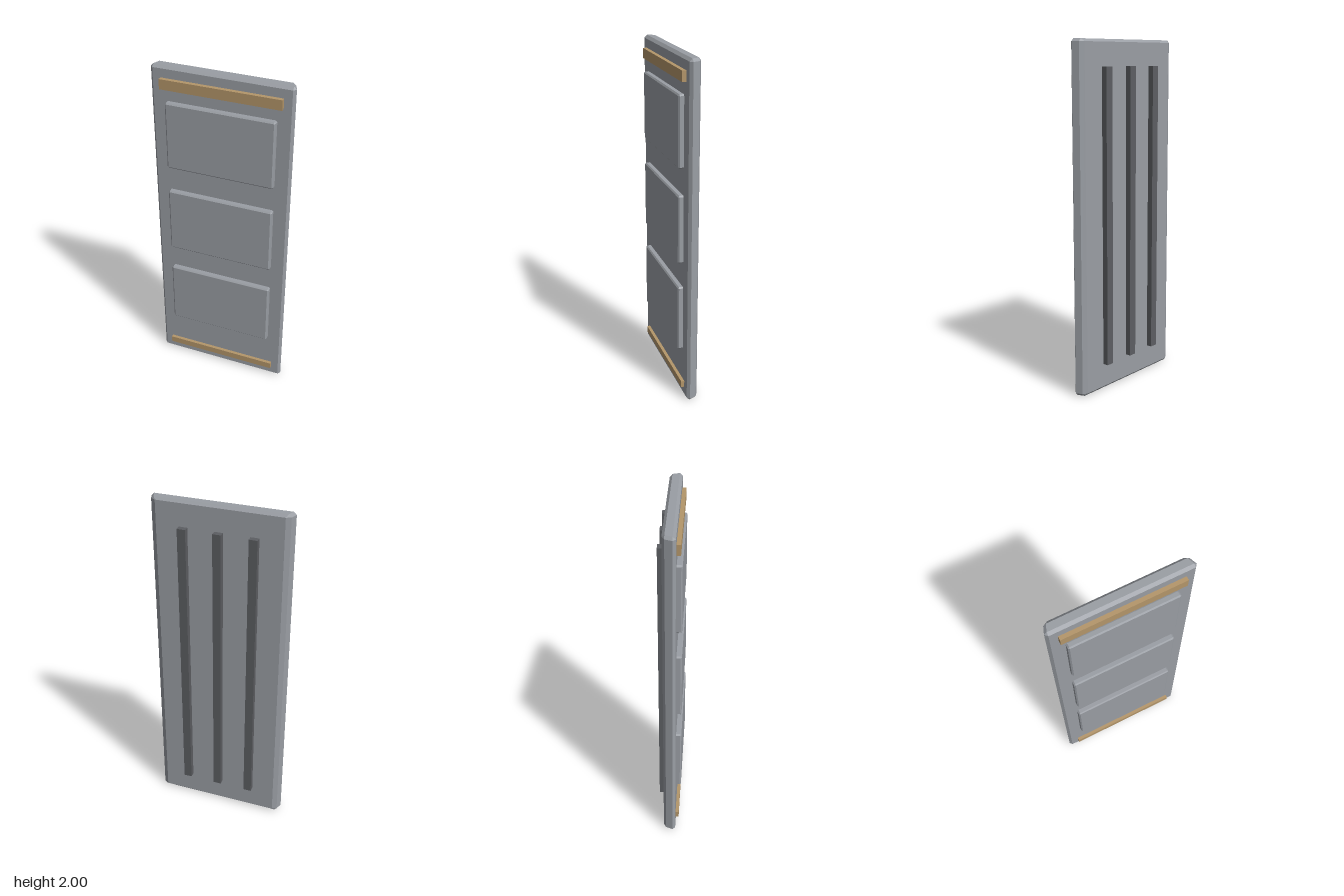
import * as THREE from 'three';
import { ConvexGeometry } from 'three/addons/geometries/ConvexGeometry.js';

const steel = new THREE.MeshStandardMaterial({ color: 0x9a9ea4 });
steel.name = 'steel grey';
const brass = new THREE.MeshStandardMaterial({ color: 0xb4966a });
brass.name = 'tan trim';
const dark = new THREE.MeshStandardMaterial({ color: 0x5c5e62 });
dark.name = 'dark grey';

// Flat-faced chamfered block: each ring is [z, half width, corner cut].
// End rings (cut 0) are plain rectangles inset by the bevel in height.
function chamferedBlock(rings, halfHeight, bevel) {
  const points = [];
  for (const [z, w, cut] of rings) {
    for (const sx of [-1, 1]) {
      for (const sy of [-1, 1]) {
        points.push(new THREE.Vector3(sx * w, sy * (halfHeight - bevel), z));
        if (cut > 0) points.push(new THREE.Vector3(sx * (w - cut), sy * halfHeight, z));
      }
    }
  }
  return new ConvexGeometry(points);
}

export function createModel() {
  const group = new THREE.Group();
  group.name = 'door';

  function add(name, geometry, material, x, y, z) {
    const mesh = new THREE.Mesh(geometry, material);
    mesh.name = name;
    mesh.position.set(x, y, z);
    group.add(mesh);
  }

  // Door slab, slightly narrower towards the back
  const slab = chamferedBlock([
    [0.037, 0.385, 0],
    [0.021, 0.4, 0.015],
    [-0.019, 0.385, 0.015],
    [-0.034, 0.358, 0],
  ], 1, 0.015);
  add('doorSlab', slab, steel, 0, 1, 0);

  // Three raised panels on the front
  const panel = chamferedBlock([
    [0.067, 0.303, 0],
    [0.06, 0.311, 0.008],
    [0.025, 0.311, 0.008],
  ], 0.2, 0.008);
  [0.505, 1.053, 1.605].forEach((y, i) => add('frontPanel' + (i + 1), panel, steel, 0, y, 0));

  // Trim strips at the top and bottom
  add('topTrim', new THREE.BoxGeometry(0.682, 0.058, 0.03), brass, 0, 1.905, 0.045);
  add('bottomTrim', new THREE.BoxGeometry(0.682, 0.04, 0.03), brass, 0, 0.083, 0.041);

  // Vertical stiffening ribs on the back
  const rib = new THREE.BoxGeometry(0.048, 1.7, 0.043);
  [-0.2, 0, 0.2].forEach((x, i) => add('backRib' + (i + 1), rib, dark, x, 1.003, -0.0455));

  return group;
}
